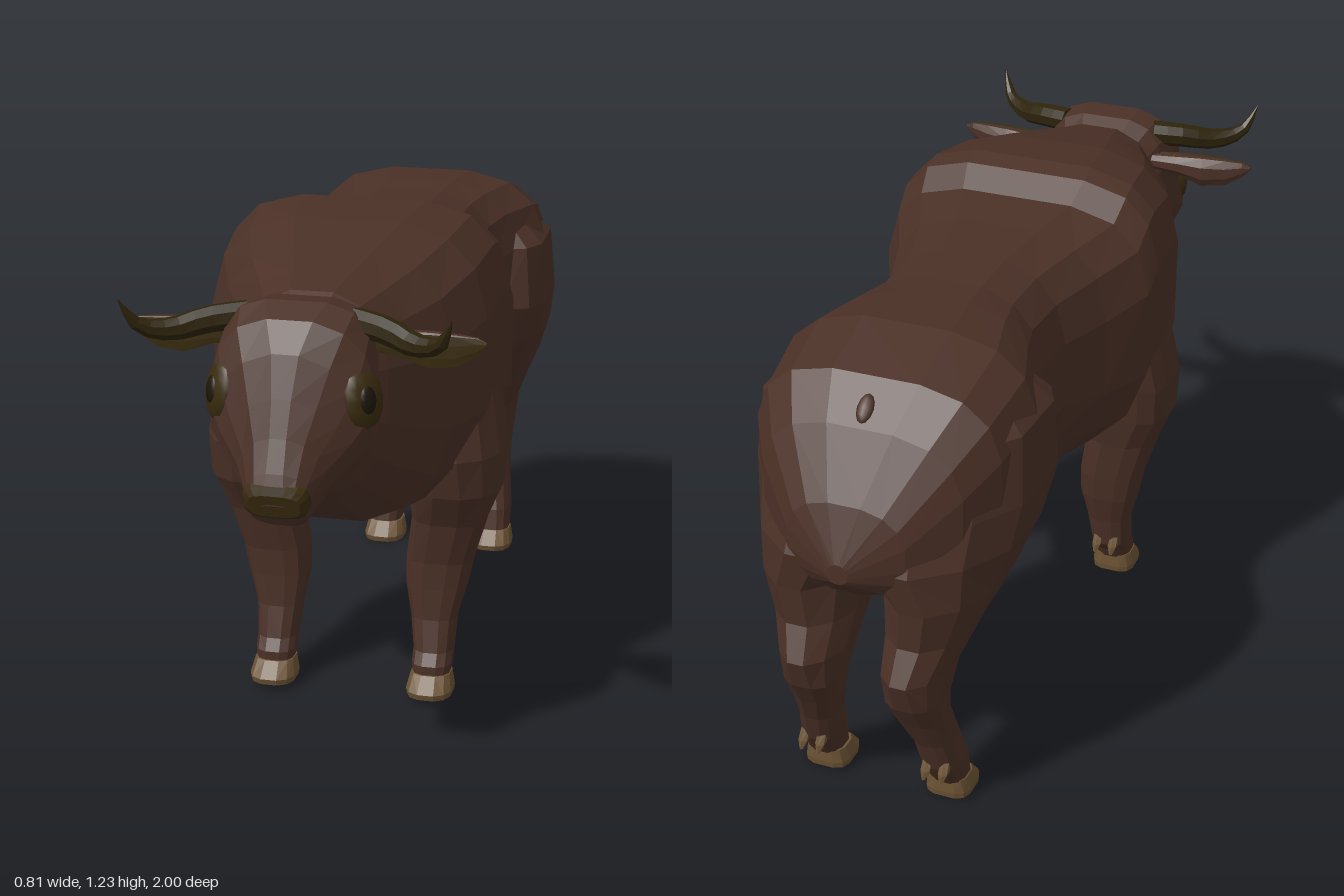
import * as THREE from 'three';

const mat = (name, color) => {
  const m = new THREE.MeshStandardMaterial({ color });
  m.name = name;
  return m;
};
const V = (x, y, z) => new THREE.Vector3(x, y, z);

// Rounded-square ring around c; nA shapes the +v half, nB the -v half
function ring(c, u, v, nA = 2, nB = nA, seg = 16) {
  const pts = [];
  for (let i = 0; i < seg; i++) {
    const a = ((i + 0.5) / seg) * Math.PI * 2;
    const cs = Math.cos(a), sn = Math.sin(a), n = sn > 0 ? nA : nB;
    const p = (t) => Math.sign(t) * Math.abs(t) ** (2 / n);
    pts.push(c.clone().addScaledVector(u, p(cs)).addScaledVector(v, p(sn)));
  }
  return pts;
}

// Faceted skin over a row of rings, capped at both ends and facing outward
function loft(rings, side = 1) {
  const tris = [], n = rings[0].length;
  const mid = (r) => r.reduce((s, p) => s.add(p), V(0, 0, 0)).divideScalar(n);
  const first = rings[0], last = rings[rings.length - 1];
  const c0 = mid(first), c1 = mid(last);
  for (let i = 0; i < n; i++) {
    const j = (i + 1) % n;
    for (let k = 0; k + 1 < rings.length; k++) {
      const a = rings[k], b = rings[k + 1];
      tris.push([a[i], a[j], b[j]], [a[i], b[j], b[i]]);
    }
    tris.push([c0, first[j], first[i]], [c1, last[i], last[j]]);
  }
  let volume = 0;
  for (const [a, b, c] of tris) volume += a.dot(b.clone().cross(c));
  const flip = volume * side < 0, out = [];
  for (const [a, b, c] of tris) {
    for (const p of flip ? [a, c, b] : [a, b, c]) out.push(p.x * side, p.y, p.z);
  }
  const g = new THREE.BufferGeometry();
  g.setAttribute('position', new THREE.Float32BufferAttribute(out, 3));
  g.computeVertexNormals();
  return g;
}

// Upright ring between a top and a bottom point on the middle plane
const midRing = (zt, yt, zb, yb, w, nA, nB) =>
  ring(V(0, (yt + yb) / 2, (zt + zb) / 2), V(w, 0, 0), V(0, (yt - yb) / 2, (zt - zb) / 2), nA, nB);

// Level ring between front/back z and inner/outer x
const legRing = (y, zf, zb, xi, xo, nA = 2.6, nB = nA, seg = 12) =>
  ring(V((xi + xo) / 2, y, (zf + zb) / 2), V((xo - xi) / 2, 0, 0), V(0, 0, (zf - zb) / 2), nA, nB, seg);

export function createModel() {
  const model = new THREE.Group();
  model.name = 'bull';
  const hide = mat('brown hide', 0x4a3026);
  const horn = mat('dark horn', 0x2e240b);
  const skin = mat('olive skin', 0x392b0e);
  const hoof = mat('tan hoof', 0x6b5234);
  const dark = mat('dark eye', 0x1c1509);
  const add = (name, geometry, material, parent = model) => {
    const m = new THREE.Mesh(geometry, material);
    m.name = name;
    parent.add(m);
    return m;
  };

  // Trunk: z, top, bottom, half width, upper roundness
  const trunk = [
    [0.71, 1.1, 0.7, 0.135, 2.6], [0.66, 1.13, 0.645, 0.175, 2.6],
    [0.58, 1.15, 0.585, 0.22, 2.7], [0.47, 1.18, 0.51, 0.285, 3],
    [0.33, 1.215, 0.49, 0.338, 3.4], [0.17, 1.23, 0.495, 0.352, 3.9],
    [0.12, 1.215, 0.495, 0.355, 3.9], [0.06, 1.17, 0.48, 0.352, 3.6],
    [-0.07, 1.15, 0.49, 0.29, 3.2], [-0.22, 1.135, 0.55, 0.24, 3],
    [-0.36, 1.13, 0.575, 0.235, 3], [-0.46, 1.135, 0.61, 0.265, 3],
    [-0.6, 1.135, 0.6, 0.32, 3], [-0.77, 1.085, 0.6, 0.3, 3.1],
    [-0.86, 1.0, 0.61, 0.245, 2.9], [-0.95, 0.855, 0.63, 0.145, 2.5],
    [-0.998, 0.73, 0.68, 0.025, 2],
  ];
  add('trunk', loft(trunk.map(([z, t, b, w, n]) => midRing(z, t, z, b, w, n, 2.3))), hide);

  // Head: top z and y, bottom z and y, half width, face and jaw roundness
  const head = [
    [0.66, 1.1, 0.64, 0.71, 0.14, 3.2, 2.3], [0.72, 1.135, 0.69, 0.7, 0.165, 3.6, 2.3],
    [0.79, 1.142, 0.74, 0.705, 0.18, 3.4, 2.3], [0.85, 1.115, 0.78, 0.72, 0.19, 2.5, 2.2],
    [0.89, 1.05, 0.81, 0.728, 0.187, 1.8, 2.2], [0.925, 0.96, 0.84, 0.72, 0.15, 1.7, 2.2],
    [0.955, 0.88, 0.875, 0.7, 0.104, 1.9, 2.5], [0.985, 0.81, 0.905, 0.685, 0.08, 2.3, 2.8],
    [0.997, 0.775, 0.935, 0.675, 0.068, 2.8, 2.8], [0.995, 0.74, 0.955, 0.685, 0.055, 2.8, 2.8],
  ];
  add('head', loft(head.map((h) => midRing(...h))), hide);

  // Nose pad wrapped over the end of the muzzle
  add('nose', loft([
    midRing(0.982, 0.79, 0.945, 0.71, 0.075, 3.4),
    midRing(0.998, 0.782, 0.972, 0.705, 0.071, 3.4),
    midRing(1.002, 0.765, 0.985, 0.712, 0.058, 3.4),
  ]), skin);

  // Small tail root lying on the rump
  const tail = add('tailRoot', new THREE.SphereGeometry(1, 8, 6), hide);
  tail.scale.set(0.02, 0.035, 0.012);
  tail.position.set(0, 1.031, -0.827);
  tail.rotation.x = 0.8;

  const frontLeg = [
    [1.0, 0.34, 0.11, 0.12, 0.325, 2, 3], [0.8, 0.38, 0.1, 0.12, 0.342, 2, 4],
    [0.65, 0.4, 0.12, 0.125, 0.367, 2, 4], [0.55, 0.375, 0.135, 0.135, 0.362, 2.2, 3.5],
    [0.46, 0.325, 0.155, 0.14, 0.325],
    [0.35, 0.3, 0.165, 0.125, 0.292], [0.28, 0.297, 0.175, 0.125, 0.277],
    [0.2, 0.3, 0.197, 0.14, 0.255], [0.12, 0.318, 0.21, 0.15, 0.25],
    [0.09, 0.335, 0.235, 0.15, 0.25], [0.05, 0.335, 0.255, 0.155, 0.245],
  ];
  const hindLeg = [
    [1.06, -0.5, -0.74, -0.1, 0.22, 5, 2], [0.96, -0.43, -0.86, -0.2, 0.325, 5, 2],
    [0.8, -0.41, -0.925, -0.17, 0.336, 5, 1.8], [0.7, -0.45, -0.968, -0.1, 0.32, 4, 1.6],
    [0.6, -0.53, -0.952, 0.015, 0.285, 3, 1.8], [0.5, -0.64, -0.942, 0.035, 0.24, 2.6, 2],
    [0.42, -0.72, -0.98, 0.045, 0.208, 2.6, 1.9], [0.34, -0.775, -0.952, 0.06, 0.195],
    [0.27, -0.78, -0.91, 0.075, 0.19], [0.19, -0.752, -0.87, 0.1, 0.195],
    [0.11, -0.722, -0.845, 0.108, 0.205], [0.04, -0.71, -0.8, 0.115, 0.205],
  ];

  for (const side of [1, -1]) {
    const tag = side > 0 ? 'left' : 'right';
    const put = (name, rings, material) => add(tag + name, loft(rings, side), material);

    put('FrontLeg', frontLeg.map((r) => legRing(...r)), hide);
    put('HindLeg', hindLeg.map((r) => legRing(...r)), hide);

    // Flared hooves and dewclaws: floor y, toe z, heel z, middle x, dewclaw z and y
    for (const [end, y, zf, zb, x, dz, dy] of [
      ['Front', 0.016, 0.375, 0.25, 0.2, 0.205, 0.125],
      ['Hind', 0, -0.675, -0.8, 0.158, -0.85, 0.11],
    ]) {
      put(end + 'Hoof', [
        legRing(y, zf - 0.004, zb, x - 0.056, x + 0.056, 2.6, 3.5),
        legRing(y + 0.015, zf, zb - 0.002, x - 0.058, x + 0.058, 2.6, 3.5),
        legRing(y + 0.052, zf - 0.035, zb, x - 0.05, x + 0.05, 2.6, 3.5),
      ], hoof);
      for (const s of [-0.022, 0.022]) {
        const claw = (cy, f, b, w) => legRing(dy + cy, dz + f, dz + b, x + s - w, x + s + w, 2, 2, 6);
        put(end + 'Dewclaw', [
          claw(0.025, 0.03, 0.005, 0.012), claw(0, 0.02, -0.015, 0.013), claw(-0.018, -0.005, -0.02, 0.005),
        ], hoof);
      }
    }

    // Horn: tapering rings along a curve that sweeps out, forward and up
    const path = new THREE.CatmullRomCurve3([
      V(0.12, 1.092, 0.755), V(0.2, 1.084, 0.785), V(0.275, 1.069, 0.83),
      V(0.335, 1.087, 0.872), V(0.366, 1.15, 0.905),
    ]);
    const hornRings = [];
    for (let i = 0; i <= 9; i++) {
      const t = i / 9, d = path.getTangent(t), r = 0.031 * (1 - t ** 2.4) + 0.001;
      const u = d.clone().cross(V(0, 0.6, -0.8)).normalize();
      hornRings.push(ring(path.getPoint(t), u.clone().multiplyScalar(r),
        d.clone().cross(u).multiplyScalar(r), 2, 2, 8));
    }
    put('Horn', hornRings, horn);

    // Ear: leaf with a thick hide back and an olive inner face
    const ear = [
      [0.14, 1.035, 0.02, 0.7, 0.02], [0.21, 1.035, 0.027, 0.7, 0.025],
      [0.28, 1.025, 0.042, 0.703, 0.024], [0.34, 1.028, 0.037, 0.709, 0.017],
      [0.385, 1.04, 0.021, 0.714, 0.009], [0.406, 1.046, 0.004, 0.718, 0.003],
    ];
    put('EarBack', ear.map(([x, y, h, z, th]) =>
      ring(V(x, y, z), V(0, h, 0), V(0, 0, th), 2, 2, 8)), hide);
    put('EarInner', ear.map(([x, y, h, z, th]) =>
      ring(V(x, y, z + th), V(0, h * 0.97, 0), V(0, 0, 0.004), 2, 2, 8)), skin);

    // Eye patch with the eye set into it
    const eye = new THREE.Group();
    eye.name = tag + 'EyeGroup';
    eye.position.set(side * 0.158, 0.945, 0.845);
    eye.lookAt(side * 0.888, 1.105, 1.475);
    model.add(eye);
    for (const [name, w, h, d, z, m] of [
      ['EyePatch', 0.054, 0.072, 0.028, 0, skin], ['Eye', 0.022, 0.032, 0.01, 0.022, dark],
    ]) {
      const e = add(tag + name, new THREE.SphereGeometry(1, 12, 8), m, eye);
      e.scale.set(w, h, d);
      e.position.z = z;
    }
  }
  return model;
}
